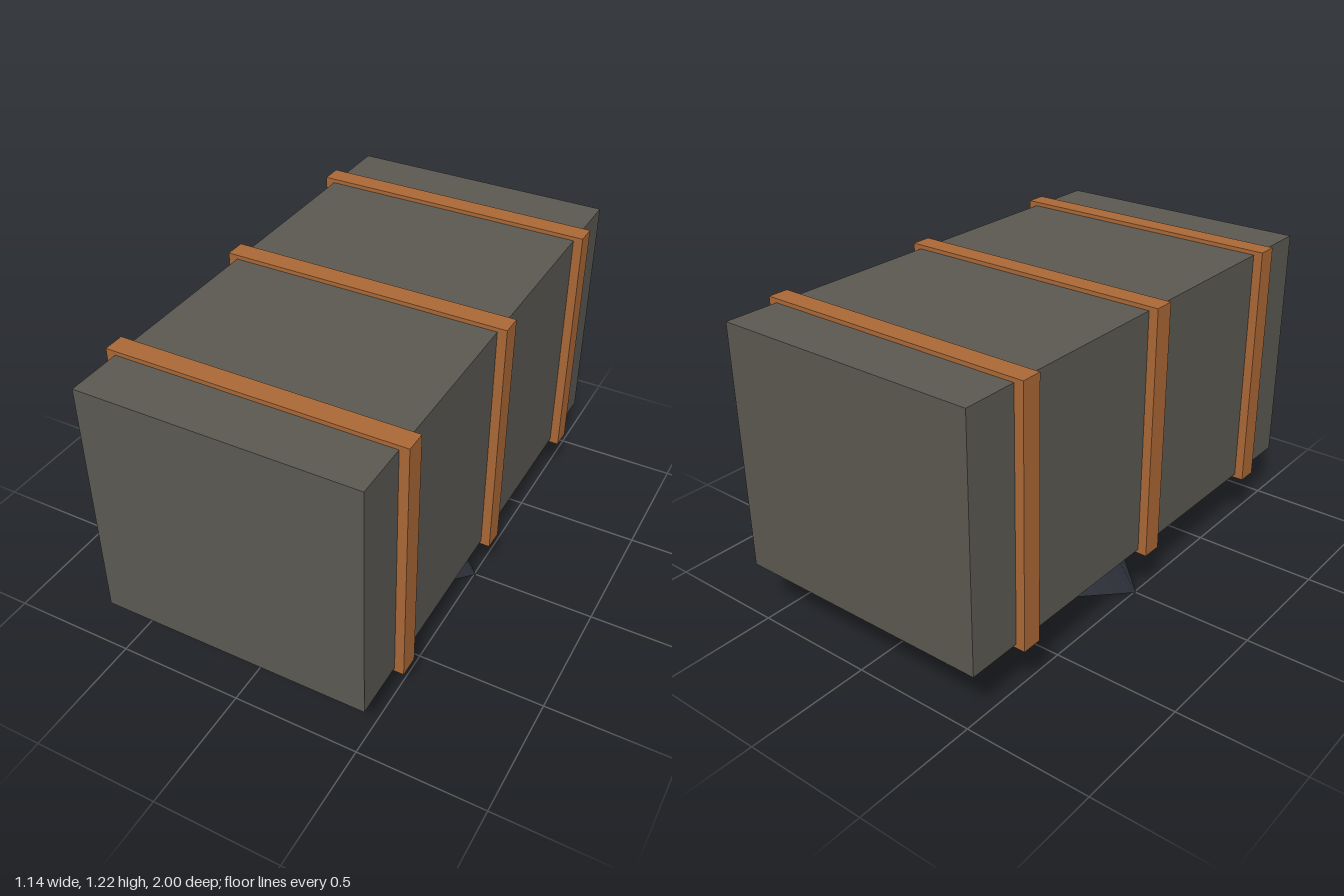
import * as THREE from 'three';

function addMesh(group, name, geometry, color, x, y, z) {
  const mesh = new THREE.Mesh(geometry, new THREE.MeshStandardMaterial({ color }));
  mesh.name = name;
  mesh.position.set(x, y, z);
  group.add(mesh);
  return mesh;
}

export function createModel() {
  const model = new THREE.Group();
  model.name = 'strappedBoxOnStand';

  // Four-sided foot with its corners on the x and z axes
  addMesh(model, 'foot', new THREE.CylinderGeometry(0.414, 0.508, 0.122, 4), 0x2c2f38, 0, 0.061, 0);

  // Tapered neck, running a little way into the box
  addMesh(model, 'neck', new THREE.CylinderGeometry(0.318, 0.379, 0.13, 12), 0x94806f, 0, 0.184, 0);

  // Long box body
  addMesh(model, 'body', new THREE.BoxGeometry(1.066, 0.972, 2), 0x5c5952, 0, 0.718, 0);

  // Three bands around the body
  const bandGeometry = new THREE.BoxGeometry(1.138, 1.004, 0.082);
  ['backBand', 'middleBand', 'frontBand'].forEach((name, i) => {
    addMesh(model, name, bandGeometry, 0xab6836, 0, 0.718, (i - 1) * 0.738);
  });

  return model;
}
